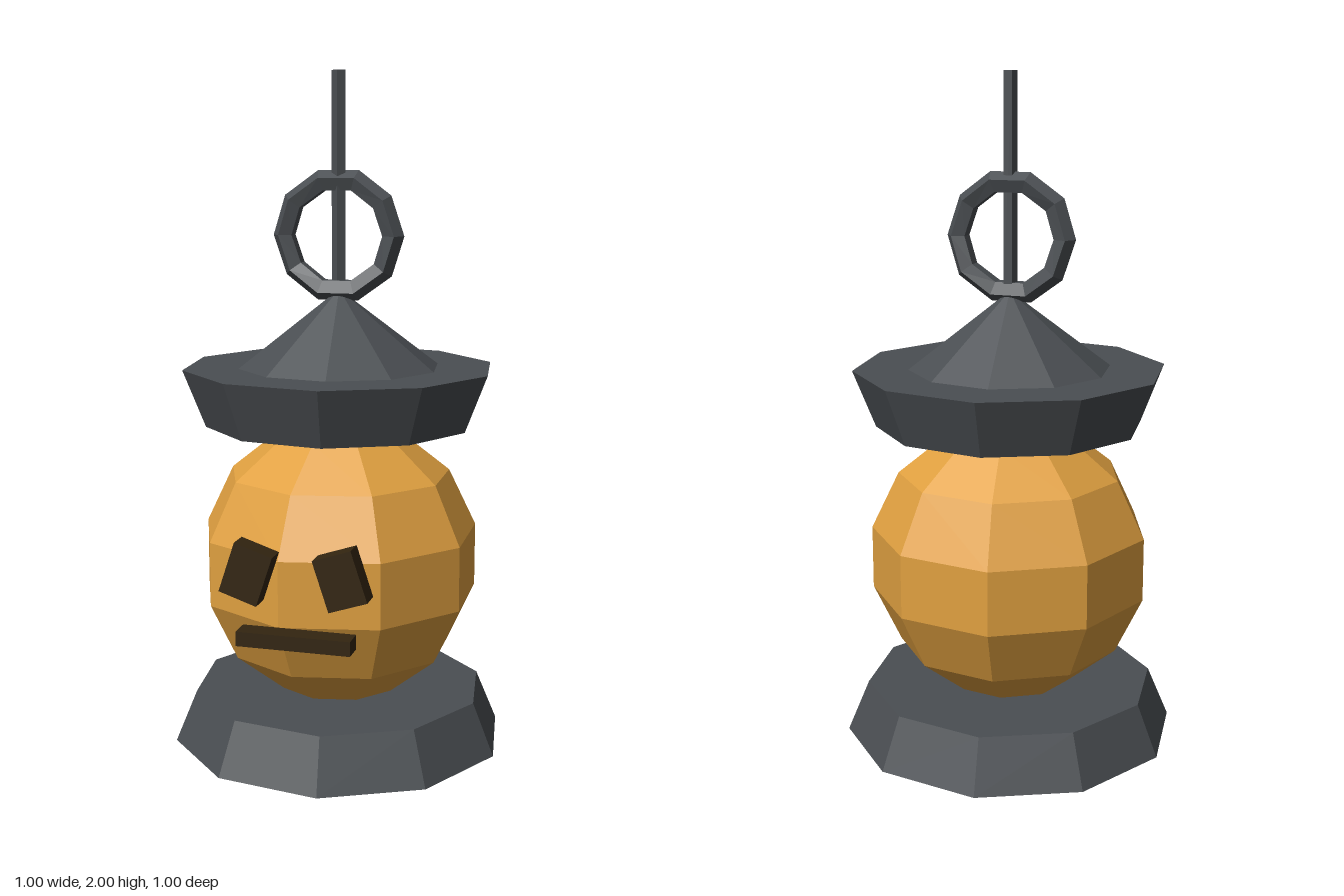
import * as THREE from 'three';

export function createModel() {
  const group = new THREE.Group();
  const mat = (name, color) => {
    const m = new THREE.MeshStandardMaterial({ color, flatShading: true });
    m.name = name;
    return m;
  };
  const iron = mat('dark iron', 0x4a4e52);
  const orange = mat('pumpkin orange', 0xe0a040);
  const brown = mat('burnt brown', 0x332510);

  const add = (name, geometry, material, x, y, z) => {
    const mesh = new THREE.Mesh(geometry, material);
    mesh.name = name;
    mesh.position.set(x, y, z);
    group.add(mesh);
    return mesh;
  };

  // Ten-sided tapered disc between two heights
  const turn = THREE.MathUtils.degToRad(8.4);
  const disc = (name, rTop, rBottom, y0, y1) =>
    add(name, new THREE.CylinderGeometry(rTop, rBottom, y1 - y0, 10, 1, false, turn), iron, 0, (y0 + y1) / 2, 0);

  disc('base', 0.44, 0.505, 0, 0.155);
  disc('capRim', 0.467, 0.4, 0.97, 1.14);
  disc('capRoof', 0, 0.302, 1.14, 1.37);

  // Lantern body: nine-sided faceted ball
  add('body', new THREE.SphereGeometry(0.43, 9, 7, THREE.MathUtils.degToRad(1.5)), orange, 0, 0.55, 0);

  // Slanted eyes and straight mouth
  for (const side of [-1, 1]) {
    const eye = add(side > 0 ? 'leftEye' : 'rightEye', new THREE.BoxGeometry(0.115, 0.15, 0.065), brown, side * 0.135, 0.622, 0.448);
    eye.rotation.z = side * 0.32;
  }
  add('mouth', new THREE.BoxGeometry(0.33, 0.042, 0.065), brown, 0, 0.435, 0.448);

  // Carrying ring, slightly bent out of plane
  const ring = new THREE.TorusGeometry(0.165, 0.034, 5, 10);
  const p = ring.attributes.position;
  for (let i = 0; i < p.count; i++) {
    const a = Math.atan2(p.getY(i), p.getX(i));
    p.setZ(i, p.getZ(i) + 0.006 * Math.sin(3 * a));
  }
  add('ring', ring, iron, -0.003, 1.527, 0);

  // Hanging rod
  add('rod', new THREE.CylinderGeometry(0.022, 0.022, 0.62, 5), iron, 0, 1.69, 0);

  return group;
}
